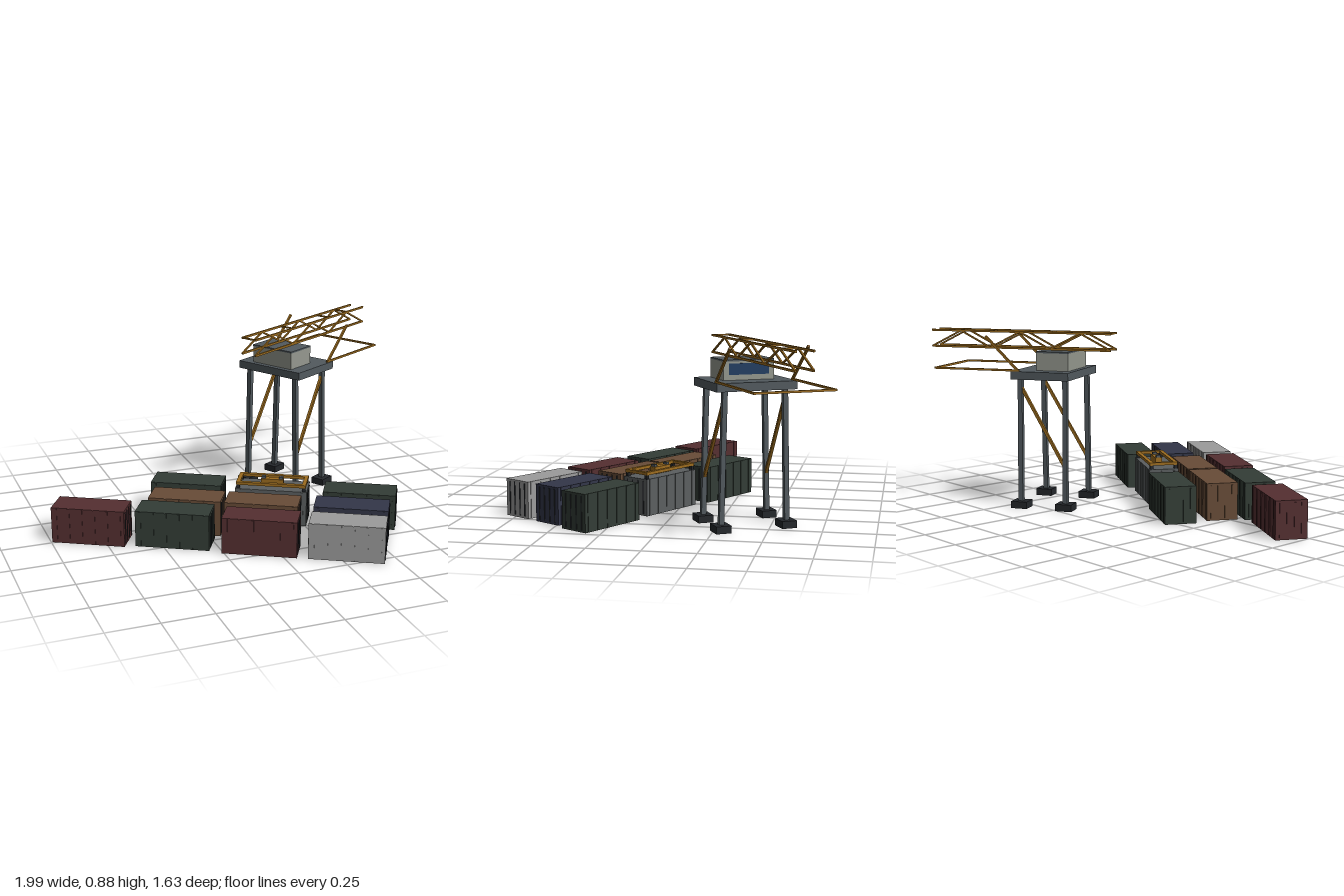
import * as THREE from 'three';

const mat = (color) => new THREE.MeshStandardMaterial({ color });
const COLORS = {
  red: 0x552f31, green: 0x333d36, brown: 0x684c37, blue: 0x333649, grey: 0x5b5f60, pale: 0x9b9b9b,
  slate: 0x525a5f, dark: 0x24272b, amber: 0x9c6c1f, glass: 0x1e3c62, wall: 0x95988f,
};
const M = Object.fromEntries(Object.entries(COLORS).map(([k, c]) => [k, mat(c)]));

function box(parent, name, size, pos, material) {
  const mesh = new THREE.Mesh(new THREE.BoxGeometry(...size), material);
  mesh.name = name;
  mesh.position.set(...pos);
  parent.add(mesh);
  return mesh;
}

// square bar running from a to b, in the parent's own frame
function bar(parent, name, a, b, thick, material) {
  const p = new THREE.Vector3(...a), q = new THREE.Vector3(...b);
  const mesh = box(parent, name, [thick, thick, p.distanceTo(q)], [0, 0, 0], material);
  mesh.position.copy(p).add(q).multiplyScalar(0.5);
  mesh.quaternion.setFromRotationMatrix(new THREE.Matrix4().lookAt(q, p, new THREE.Vector3(0, 1, 0)));
  return mesh;
}

function group(name, x, z, angle) {
  const g = new THREE.Group();
  g.name = name;
  g.position.set(x, 0, z);
  g.rotation.y = angle;
  return g;
}

const L = 0.366, H = 0.183, W = 0.154;

function makeContainer(x, z, material) {
  const g = group('container', x, z, -Math.PI / 6);
  box(g, 'containerBody', [L, H, W], [0, H / 2, 0], material);
  // ribs on the long walls
  for (let i = 0; i < 6; i++) {
    box(g, 'sideRib', [0.012, H - 0.004, W + 0.006], [-0.16 + i * 0.064, H / 2, 0], material);
  }
  // end wall ribs and door locking bars
  for (const rz of [-0.052, -0.018, 0.018, 0.052]) {
    box(g, 'endRib', [0.005, H - 0.02, 0.012], [-L / 2, H / 2, rz], material);
    box(g, 'doorBar', [0.005, H - 0.02, 0.006], [L / 2, H / 2, rz], M.dark);
  }
  return g;
}

function makeSpreader(x, z) {
  const g = group('spreader', x, z, -Math.PI / 6);
  const hx = 0.168, hz = 0.063, y = 0.21;
  for (const s of [-1, 1]) {
    box(g, 'spreaderSideBeam', [hx * 2 + 0.02, 0.015, 0.02], [0, y, s * hz], M.amber);
    box(g, 'spreaderEndBeam', [0.02, 0.015, hz * 2], [s * hx, y, 0], M.amber);
    for (const t of [-1, 1]) box(g, 'twistLock', [0.016, 0.024, 0.016], [s * hx, 0.193, t * hz], M.dark);
    box(g, 'sheaveBlock', [0.02, 0.012, 0.022], [s * 0.045, 0.226, 0], M.slate);
  }
  box(g, 'headBlock', [0.115, 0.035, 0.035], [0, 0.203, 0], M.amber);
  return g;
}

function makeCrane() {
  const g = group('crane', 0.398, -0.37, Math.PI / 6);

  // feet, splayed legs and diagonal leg braces
  for (const sz of [-1, 1]) {
    for (const sx of [-1, 1]) {
      box(g, 'foot', [0.085, 0.035, 0.075], [sx * 0.12, 0.0175, sz * 0.165], M.dark);
      bar(g, 'leg', [sx * 0.12, 0.03, sz * 0.165], [sx * 0.12, 0.66, sz * 0.15], 0.024, M.slate);
    }
    bar(g, 'legBrace', [-0.12, 0.21, sz * 0.16], [0.12, 0.62, sz * 0.151], 0.014, M.amber);
  }

  // deck and machinery house
  box(g, 'deck', [0.305, 0.04, 0.4], [0, 0.676, 0], M.slate);
  box(g, 'house', [0.17, 0.09, 0.253], [-0.04, 0.74, 0], M.wall);
  box(g, 'houseRoof', [0.172, 0.008, 0.255], [-0.04, 0.788, 0], M.slate);
  box(g, 'houseWindow', [0.006, 0.053, 0.2], [0.046, 0.748, 0], M.glass);

  // lattice boom: two trussed sides tied by crossbars
  const x0 = -0.322, x1 = 0.662, yLow = 0.797, yTop = 0.88, bays = 6;
  const step = (x1 - x0) / bays;
  for (const z of [-0.0425, 0.0425]) {
    for (const y of [yLow, yTop]) bar(g, 'boomChord', [x0, y, z], [x1, y, z], 0.01, M.amber);
    for (let i = 0; i < bays; i++) {
      const ends = i % 2 ? [yTop, yLow] : [yLow, yTop];
      bar(g, 'boomLacing', [x0 + i * step, ends[0], z], [x0 + (i + 1) * step, ends[1], z], 0.008, M.amber);
    }
  }
  for (const s of [0.004, 0.325, 0.655, 0.828]) {
    bar(g, 'boomCrossbar', [x0 + s, yTop, -0.0425], [x0 + s, yTop, 0.0425], 0.008, M.amber);
  }

  // outrigger frame at deck level with raised struts
  for (const z of [-0.19, 0.19]) {
    bar(g, 'outriggerRail', [0.11, 0.7, z], [0.572, 0.7, z], 0.01, M.amber);
    bar(g, 'outriggerStrut', [0.114, 0.695, z], [0.29, 0.868, z], 0.011, M.amber);
  }
  bar(g, 'outriggerEnd', [0.57, 0.7, -0.195], [0.57, 0.7, 0.195], 0.01, M.amber);
  return g;
}

export function createModel() {
  const model = new THREE.Group();
  model.name = 'containerYard';
  const yard = [
    [-0.798, 0.017, 'red'], [-0.239, -0.144, 'green'], [-0.316, 0.061, 'brown'], [-0.428, 0.209, 'green'],
    [0.134, 0.094, 'grey'], [0.017, 0.255, 'brown'], [-0.064, 0.438, 'red'],
    [0.532, 0.298, 'green'], [0.406, 0.464, 'blue'], [0.3, 0.646, 'pale'],
  ];
  for (const [x, z, c] of yard) model.add(makeContainer(x, z, M[c]));
  model.add(makeSpreader(0.134, 0.094), makeCrane());
  return model;
}
